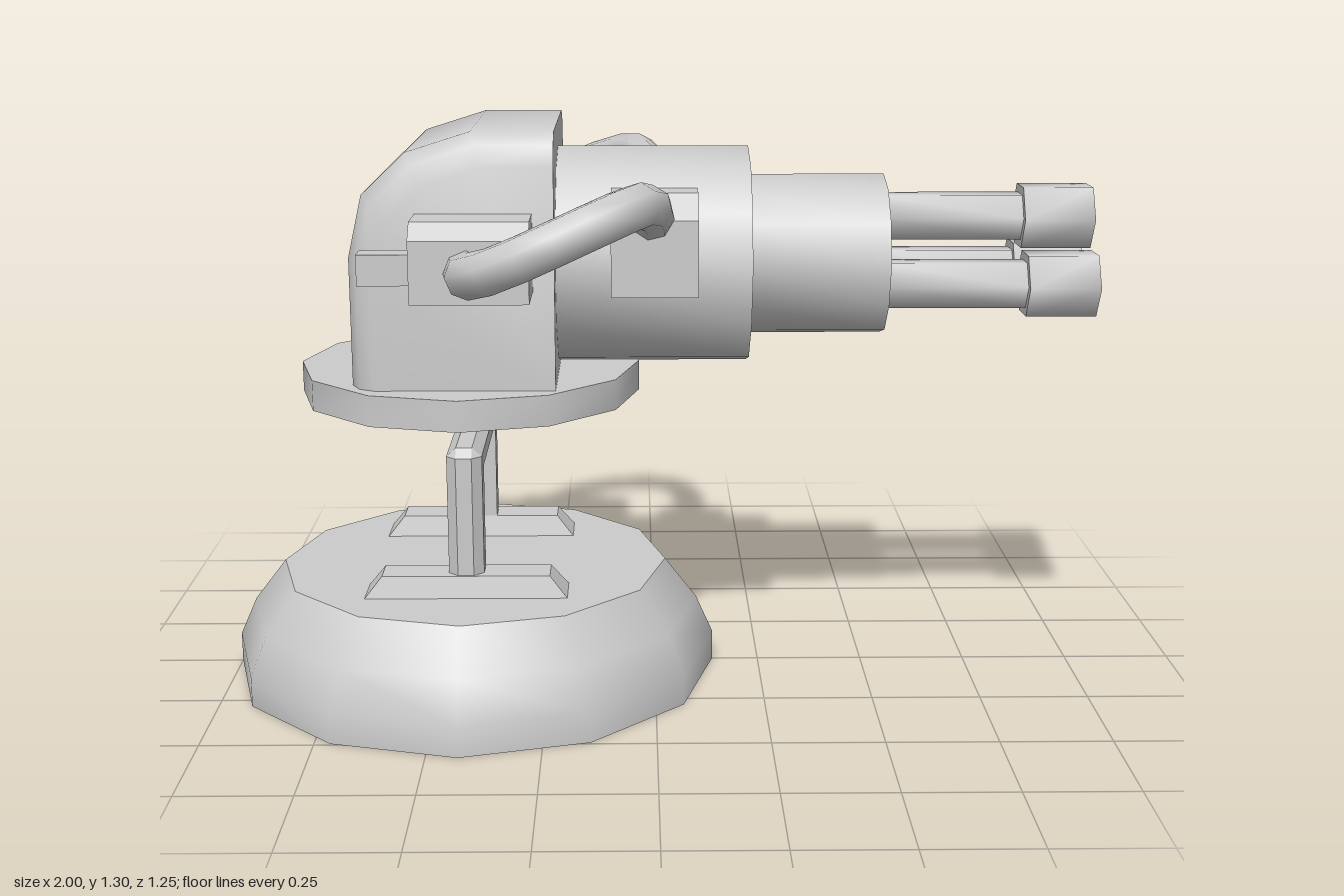
import * as THREE from 'three';
import { toCreasedNormals } from 'three/addons/utils/BufferGeometryUtils.js';

const material = new THREE.MeshStandardMaterial({ color: 0xcccccc });
const openMaterial = new THREE.MeshStandardMaterial({ color: 0xcccccc, side: THREE.DoubleSide });
const CX = -0.43; // turning axis of the turret
const AXIS_Y = 0.997; // height of the gun axis

// Joins equal-sized rings of [x, y, z] points and caps both (convex) ends
function loft(rings) {
  const n = rings[0].length;
  const index = [];
  for (let i = 0; i < rings.length - 1; i++) {
    for (let j = 0; j < n; j++) {
      const k = (j + 1) % n;
      const a = i * n + j, b = i * n + k, c = b + n, d = a + n;
      index.push(a, b, c, a, c, d);
    }
  }
  const last = (rings.length - 1) * n;
  for (let j = 1; j < n - 1; j++) {
    index.push(0, j + 1, j, last, last + j, last + j + 1);
  }
  const geometry = new THREE.BufferGeometry();
  geometry.setAttribute('position', new THREE.Float32BufferAttribute(rings.flat(2), 3));
  geometry.setIndex(index);
  return geometry;
}

export function createModel() {
  const model = new THREE.Group();
  model.name = 'turret';

  function add(name, geometry, creaseDegrees = 35, mat = material) {
    const mesh = new THREE.Mesh(toCreasedNormals(geometry, THREE.MathUtils.degToRad(creaseDegrees)), mat);
    mesh.name = name;
    model.add(mesh);
    return mesh;
  }

  // Cylinder lying along x from x0 to x1
  function barrel(name, r, x0, x1, sides, crease, y = AXIS_Y, z = 0) {
    const g = new THREE.CylinderGeometry(r, r, x1 - x0, sides).rotateZ(-Math.PI / 2);
    add(name, g, crease).position.set((x0 + x1) / 2, y, z);
  }

  // Block along x with its upper outer edge cut off, on the given side
  function chamferedBlock(name, side, x, halfLength, section) {
    const ring = (dx) => section.map(([z, y]) => [dx, y, z]);
    const mesh = add(name, loft([ring(halfLength), ring(-halfLength)]), 20);
    mesh.position.x = x;
    if (side < 0) mesh.rotation.y = Math.PI;
  }

  // Base: hollow dome, open below
  const domeProfile = [[0.57, 0], [0.57, 0.07], [0.53, 0.16], [0.455, 0.257], [0, 0.257]];
  add('base', new THREE.LatheGeometry(domeProfile.map((p) => new THREE.Vector2(...p)), 12), 42, openMaterial)
    .position.x = CX;

  // Arched yoke with chamfered outer edges; stations hold inner, middle, outer [z, y]
  const leg = [
    [[0.19, 0.29], [0.242, 0.29], [0.264, 0.29]],
    [[0.19, 0.545], [0.242, 0.58], [0.264, 0.58]],
    [[0.19, 0.545], [0.242, 0.58], [0.242, 0.6]],
  ];
  const mirrored = leg.map((s) => s.map(([z, y]) => [-z, y])).reverse();
  const yokeRings = [...leg, ...mirrored].map(([inner, mid, outer]) => [
    [inner, -0.04], [mid, -0.04], [outer, -0.018], [outer, 0.018], [mid, 0.04], [inner, 0.04],
  ].map(([[z, y], x]) => [CX + x, y, z]));
  add('yoke', loft(yokeRings), 20);

  // Pivot and turntable
  add('pivotPost', new THREE.CylinderGeometry(0.027, 0.027, 0.1, 8), 50).position.set(CX, 0.64, 0);
  add('turntable', new THREE.CylinderGeometry(0.393, 0.393, 0.07, 12)).position.set(CX, 0.71, 0);

  // Turret housing: side profile drawn in towards both flanks to round the edges
  const housingProfile = [
    [-0.22, 0.745], [-0.22, 1.305], [-0.4, 1.305], [-0.543, 1.26],
    [-0.64, 1.168], [-0.672, 1.03], [-0.672, 0.745],
  ];
  const housingRings = [[-0.3, 0.88], [-0.282, 0.955], [-0.24, 1], [0.24, 1], [0.282, 0.955], [0.3, 0.88]]
    .map(([z, s]) => housingProfile.map(([x, y]) => [-0.22 + (x + 0.22) * s, 0.745 + (y - 0.745) * s, z]));
  add('housing', loft(housingRings), 48);

  // Gun body
  barrel('gunBody', 0.25, -0.23, 0.213, 12, 35);
  barrel('gunCollar', 0.185, 0.2, 0.525, 12, 35);

  // Three barrels with hollow muzzles
  const muzzleProfile = [[0, 0], [0.08, 0], [0.08, 0.16], [0.053, 0.16], [0.053, 0.04], [0, 0.04]];
  for (const [y, z] of [[1.085, 0], [0.943, 0.09], [0.943, -0.09]]) {
    barrel('barrel', 0.059, 0.51, 0.85, 6, 62, y, z);
    const muzzle = new THREE.LatheGeometry(muzzleProfile.map((p) => new THREE.Vector2(...p)), 6);
    add('muzzle', muzzle.rotateZ(-Math.PI / 2), 62).position.set(0.84, y, z);
  }

  const hosePath = [
    [-0.4, 1.03, 0.42], [-0.39, 1.035, 0.5], [-0.33, 1.06, 0.56], [-0.2, 1.12, 0.58],
    [-0.09, 1.165, 0.54], [-0.03, 1.175, 0.45], [-0.012, 1.15, 0.36], [-0.01, 1.11, 0.25],
  ];

  for (const side of [1, -1]) {
    // Tapered foot under the yoke leg
    const footRing = (y, dx, dz) => [[-dx, -dz], [-dx, dz], [dx, dz], [dx, -dz]]
      .map(([x, z]) => [CX + x, y, side * 0.228 + z]);
    add('foot', loft([footRing(0.25, 0.235, 0.054), footRing(0.306, 0.19, 0.04)]), 10);

    // Hose fittings on the housing and on the gun
    chamferedBlock('rearFitting', side, -0.393, 0.126,
      [[0.28, 0.965], [0.447, 0.965], [0.447, 1.1], [0.41, 1.135], [0.28, 1.135]]);
    chamferedBlock('frontFitting', side, -0.003, 0.095,
      [[0.17, 0.952], [0.303, 0.952], [0.303, 1.12], [0.25, 1.173], [0.17, 1.173]]);
    add('rearStub', new THREE.BoxGeometry(0.13, 0.066, 0.06)).position.set(-0.563, 1.037, side * 0.407);

    // Hose
    const curve = new THREE.CatmullRomCurve3(hosePath.map(([x, y, z]) => new THREE.Vector3(x, y, side * z)));
    add('hose', new THREE.TubeGeometry(curve, 10, 0.049, 8), 60);
  }

  return model;
}
